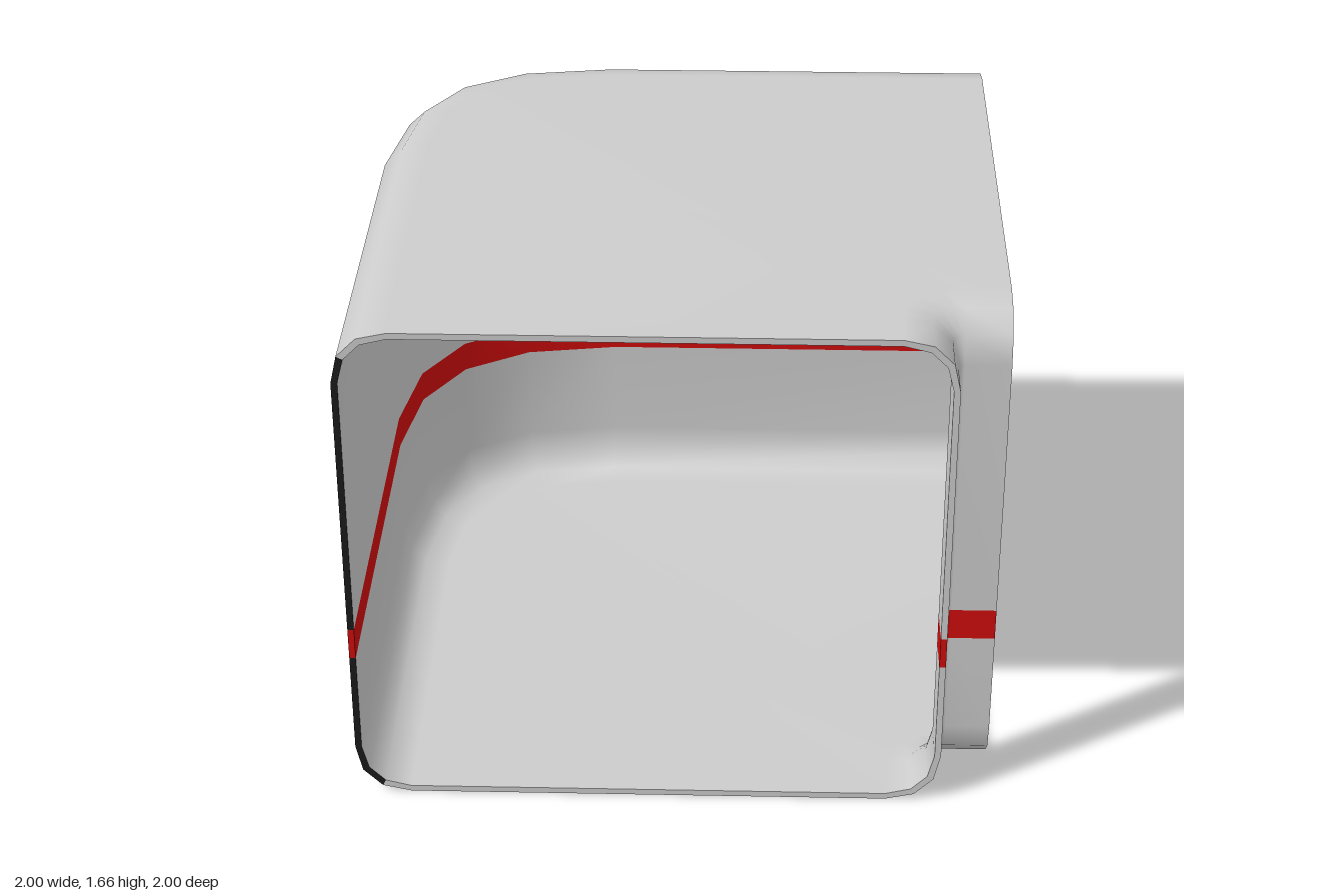
import * as THREE from 'three';

const H = 1.66, T = 0.02; // height and wall thickness
const BAND = [0.51, 0.615];
const OUTER_BAND = 4, INNER_BAND = 14; // section segments painted red
const BLACK = [1, 2, 3, 5, 6]; // dark seal segments on the rims

const grey = new THREE.MeshStandardMaterial({ name: 'light grey', color: 0xcccccc });
const red = new THREE.MeshStandardMaterial({ name: 'red', color: 0xd00c0c });
const black = new THREE.MeshStandardMaterial({ name: 'black', color: 0x1a1a1a });

// Sweep stations: wide polygonal bend outside, tight bend inside
const outerBend = [[-1, -0.27], [-0.95, -0.59], [-0.815, -0.815], [-0.59, -0.95], [-0.27, -1]];
const stations = outerBend.map((outer, i) => {
  const angle = (i * Math.PI) / 8;
  const dir = [Math.cos(angle), Math.sin(angle)];
  return { outer, inner: dir.map((d) => 0.86 - 0.02 * d), dir };
});
stations.unshift({ outer: [-1, 1], inner: [0.84, 1], dir: [1, 0] });
stations.push({ outer: [1, -1], inner: [1, 0.84], dir: [0, 1] });

// Closed rounded section: [inset from wall, height, on outer wall?]
function section(t) {
  const corner = t
    ? [[0.17, t], [0.09, 0.04], [0.04, 0.09], [t, 0.17]]
    : [[0.17, 0], [0.08, 0.02], [0.02, 0.08], [0, 0.17]];
  const wall = [
    ...corner,
    ...BAND.map((y) => [t, y]),
    ...corner.slice().reverse().map(([a, y]) => [a, H - y]),
  ];
  return [
    ...wall.map(([a, y]) => [a, y, true]),
    ...wall.slice().reverse().map(([a, y]) => [a, y, false]),
  ];
}

function ring(st, profile) {
  return profile.map(([a, y, onOuter]) => {
    const base = onOuter ? st.outer : st.inner;
    const s = onOuter ? a : -a;
    return [base[0] + s * st.dir[0], y, base[1] + s * st.dir[1]];
  });
}

// Smooth swept skin with the red band as a material group
function skin(name, t, flip) {
  const profile = section(t), n = profile.length;
  const pos = stations.flatMap((st) => ring(st, profile)).flat();
  const lists = [[], []];
  for (let k = 0; k < stations.length - 1; k++) {
    for (let j = 0; j < n; j++) {
      const a = k * n + j, b = k * n + ((j + 1) % n), c = b + n, d = a + n;
      const list = lists[j === OUTER_BAND || j === INNER_BAND ? 1 : 0];
      if (flip) list.push(a, c, b, a, d, c);
      else list.push(a, b, c, a, c, d);
    }
  }
  const g = new THREE.BufferGeometry();
  g.setAttribute('position', new THREE.Float32BufferAttribute(pos, 3));
  g.setIndex([...lists[0], ...lists[1]]);
  g.addGroup(0, lists[0].length, 0);
  g.addGroup(lists[0].length, lists[1].length, 1);
  g.computeVertexNormals();
  const mesh = new THREE.Mesh(g, [grey, red]);
  mesh.name = name;
  return mesh;
}

// Flat rim closing the wall thickness at one opening
function rim(name, st, flip) {
  const o = ring(st, section(0)), i = ring(st, section(T)), n = o.length;
  const lists = [[], [], []];
  for (let j = 0; j < n; j++) {
    const m = (j + 1) % n;
    const slot = j === OUTER_BAND || j === INNER_BAND ? 1 : BLACK.includes(j) ? 2 : 0;
    const quad = [o[j], i[j], i[m], o[j], i[m], o[m]];
    lists[slot].push(...(flip ? quad.reverse() : quad));
  }
  const g = new THREE.BufferGeometry();
  g.setAttribute('position', new THREE.Float32BufferAttribute(lists.flat(2), 3));
  let start = 0;
  lists.forEach((l, slot) => {
    g.addGroup(start, l.length, slot);
    start += l.length;
  });
  g.computeVertexNormals();
  const mesh = new THREE.Mesh(g, [grey, red, black]);
  mesh.name = name;
  return mesh;
}

export function createModel() {
  const model = new THREE.Group();
  model.name = 'cornerTunnel';
  model.add(
    skin('outerShell', 0, false),
    skin('innerLining', T, true),
    rim('frontRim', stations[0], false),
    rim('sideRim', stations[stations.length - 1], true),
  );
  return model;
}
